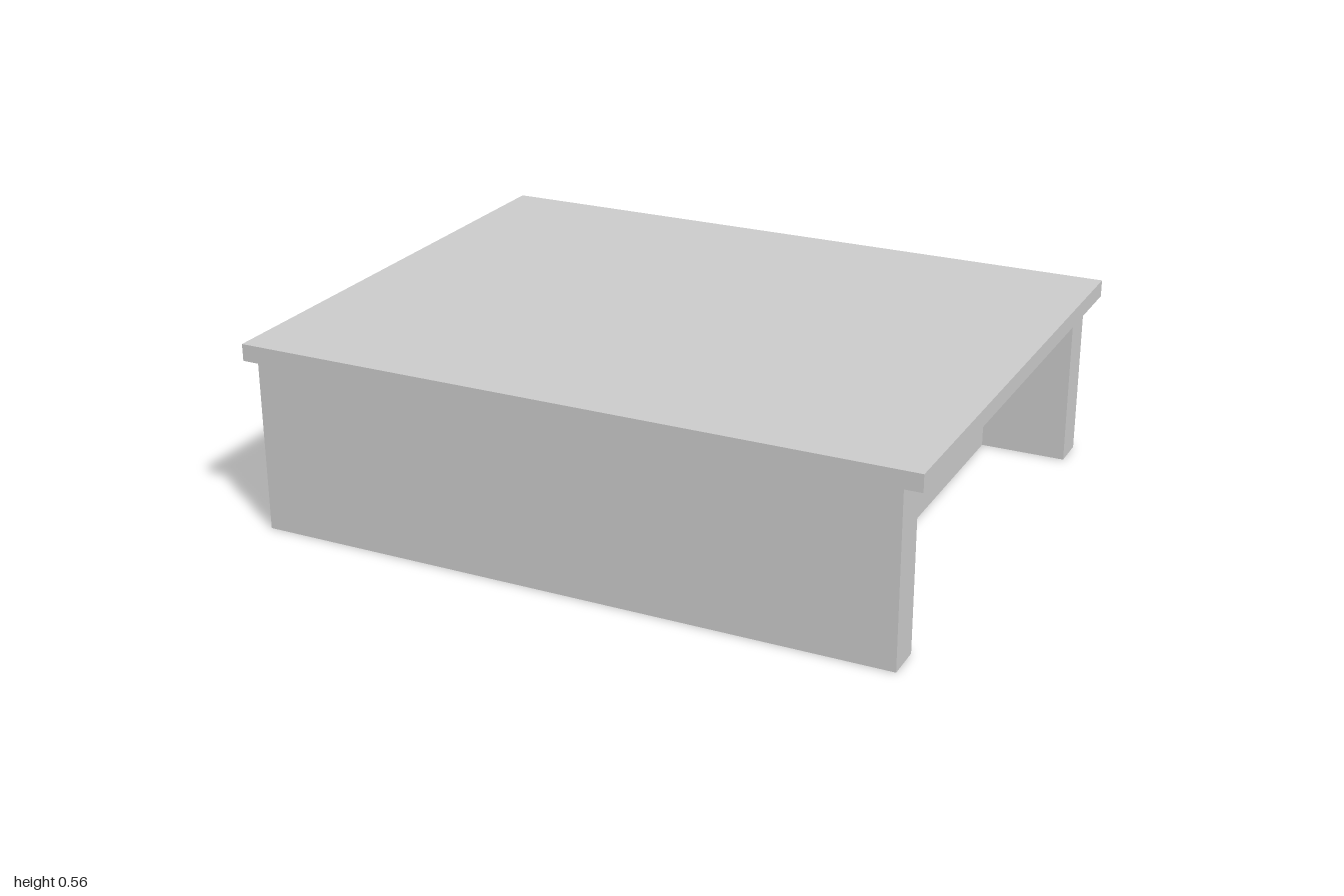
import * as THREE from 'three';

export function createModel() {
  const model = new THREE.Group();
  model.name = 'platform';
  const material = new THREE.MeshStandardMaterial({ color: 0xcccccc, flatShading: true });

  const height = 0.555, topThickness = 0.05, depth = 1.556;
  const frameHeight = height - topThickness;
  const endX = 0.95, endZ = depth / 2, innerZ = 0.67; // end panels
  const webOuter = 0.69, webInner = 0.47;             // side webs

  const add = (name, geometry) => {
    const mesh = new THREE.Mesh(geometry, material);
    mesh.name = name;
    model.add(mesh);
    return mesh;
  };

  // Overhanging top slab
  add('topSlab', new THREE.BoxGeometry(2, topThickness, depth))
    .position.y = height - topThickness / 2;

  // Underframe: wide front and back panels joined by two webs around an open bay
  const toPoints = (list) => list.map(([x, z]) => new THREE.Vector2(x, z));
  const outline = new THREE.Shape(toPoints([
    [-endX, -endZ], [endX, -endZ], [endX, -innerZ], [webOuter, -innerZ],
    [webOuter, innerZ], [endX, innerZ], [endX, endZ], [-endX, endZ],
    [-endX, innerZ], [-webOuter, innerZ], [-webOuter, -innerZ], [-endX, -innerZ],
  ]));
  outline.holes.push(new THREE.Path(toPoints([
    [-webInner, -innerZ], [-webInner, innerZ], [webInner, innerZ], [webInner, -innerZ],
  ])));
  const frame = new THREE.ExtrudeGeometry(outline, { depth: frameHeight, bevelEnabled: false });
  frame.rotateX(-Math.PI / 2);
  add('underframe', frame);

  return model;
}
